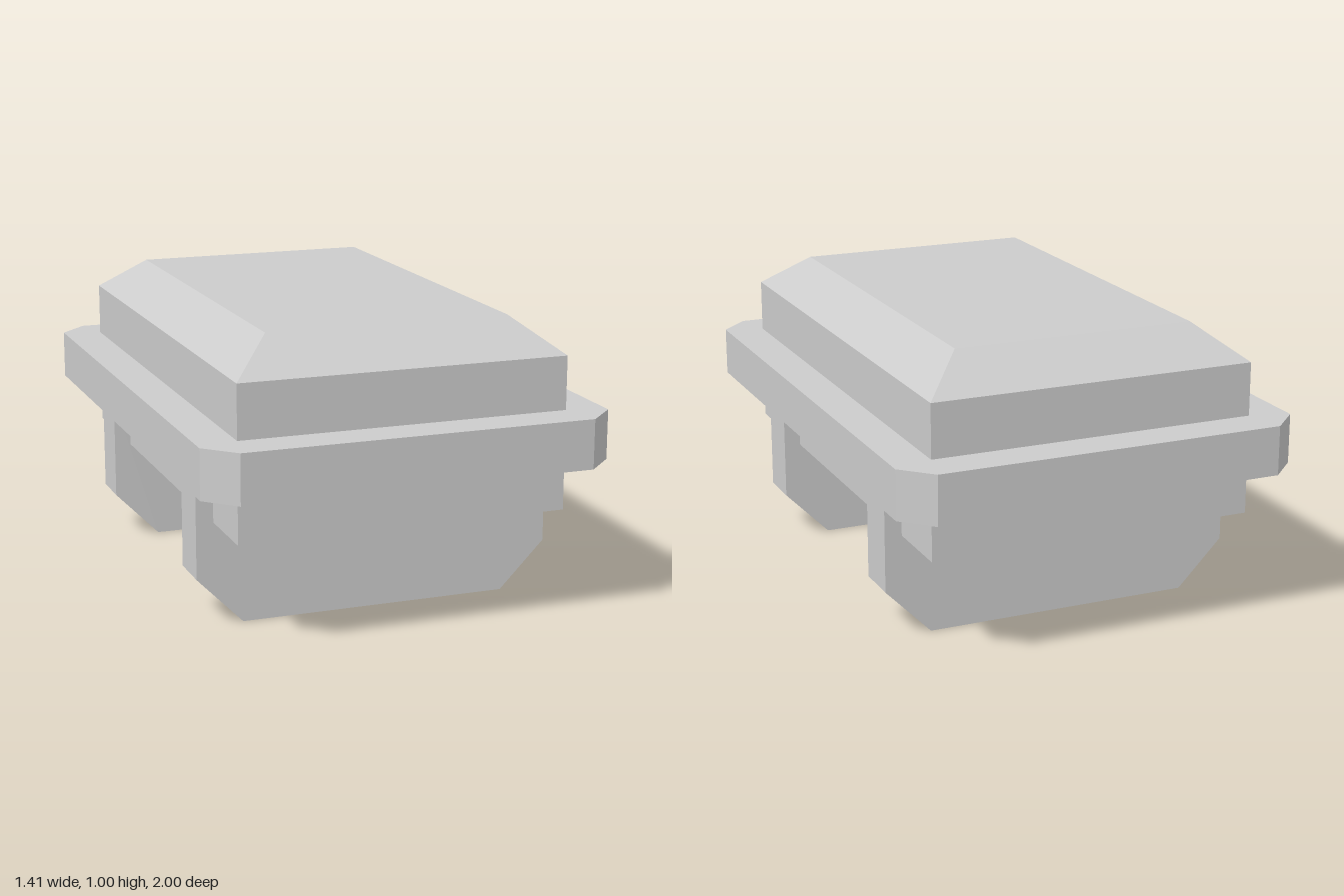
import * as THREE from 'three';

const grey = new THREE.MeshStandardMaterial({ color: 0xcccccc });
grey.name = 'light grey';

// Polygon in the xy plane, extruded along z and centred on z = 0
function prism(points, depth) {
  const shape = new THREE.Shape(points.map(([x, y]) => new THREE.Vector2(x, y)));
  const geometry = new THREE.ExtrudeGeometry(shape, { depth, bevelEnabled: false });
  return geometry.translate(0, 0, -depth / 2);
}

// Box standing between two heights whose top is narrowed to a given size
function taperedBox(width, depth, y0, y1, topWidth = width, topDepth = depth) {
  const geometry = new THREE.BoxGeometry(width, y1 - y0, depth);
  geometry.translate(0, (y0 + y1) / 2, 0);
  const p = geometry.attributes.position;
  for (let i = 0; i < p.count; i++) {
    if (p.getY(i) > (y0 + y1) / 2) {
      p.setX(i, Math.sign(p.getX(i)) * topWidth / 2);
      p.setZ(i, Math.sign(p.getZ(i)) * topDepth / 2);
    }
  }
  const flat = geometry.toNonIndexed();
  flat.computeVertexNormals();
  return flat;
}

export function createModel() {
  const model = new THREE.Group();
  model.name = 'clipInCap';

  function add(name, geometry, z = 0) {
    const mesh = new THREE.Mesh(geometry, grey);
    mesh.name = name;
    mesh.position.z = z;
    model.add(mesh);
  }

  // Rectangular body passing through the flange, with a bevelled lid
  add('body', taperedBox(1.14, 1.72, 0.355, 0.882));
  add('bevelledLid', taperedBox(1.14, 1.72, 0.882, 1, 0.845, 1.405));

  // Flange with cut corners
  const w = 0.705, d = 1, c = 0.1;
  const flange = prism([
    [w, d - c], [w - c, d], [c - w, d], [-w, d - c],
    [-w, c - d], [c - w, -d], [w - c, -d], [w, c - d],
  ], 0.17);
  flange.rotateX(-Math.PI / 2).translate(0, 0.613, 0);
  add('flange', flange);

  // Two cross brackets with chamfered feet
  const bracket = prism([
    [-0.47, 0], [0.47, 0], [0.63, 0.163], [0.63, 0.54], [-0.63, 0.54], [-0.63, 0.163],
  ], 0.16);
  add('frontBracket', bracket, 0.518);
  add('backBracket', bracket, -0.518);

  // Thin tie bar joining the feet, wider at its top
  add('tieBar', taperedBox(0.4, 0.88, 0, 0.06, 0.6, 0.88));

  return model;
}
